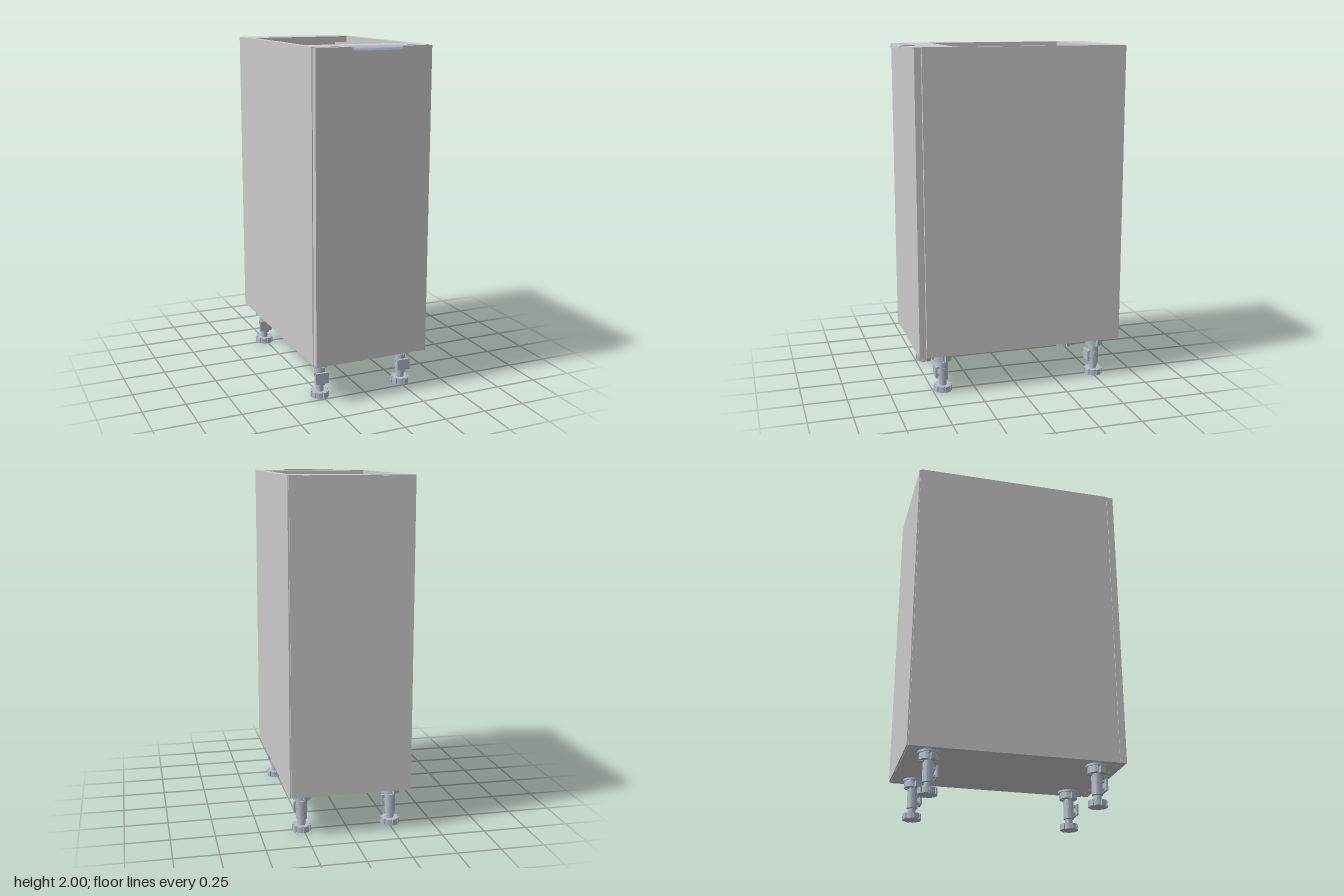
import * as THREE from 'three';
import { toCreasedNormals } from 'three/addons/utils/BufferGeometryUtils.js';

const board = new THREE.MeshStandardMaterial({ color: 0xcccccc });
const metal = new THREE.MeshStandardMaterial({ color: 0xb0bcc8 });

function add(parent, name, geometry, material) {
  const mesh = new THREE.Mesh(geometry, material);
  mesh.name = name;
  parent.add(mesh);
  return mesh;
}

// Box given by its lower and upper limits on each axis
function slab(parent, name, [x0, x1], [y0, y1], [z0, z1], material = board) {
  const mesh = add(parent, name, new THREE.BoxGeometry(x1 - x0, y1 - y0, z1 - z0), material);
  mesh.position.set((x0 + x1) / 2, (y0 + y1) / 2, (z0 + z1) / 2);
  return mesh;
}

// Disc with evenly spaced notches in its rim, lying flat from y to y + height
function notchedDisc(radius, inner, notches, y, height) {
  const shape = new THREE.Shape();
  const step = (Math.PI * 2) / notches;
  for (let i = 0; i < notches; i++) {
    for (let j = 0; j <= 4; j++) {
      const a = i * step + step * (0.1 + 0.2 * j);
      const p = [Math.cos(a) * radius, Math.sin(a) * radius];
      if (i + j === 0) shape.moveTo(...p);
      else shape.lineTo(...p);
    }
    for (const t of [0.9, 1.1]) {
      const a = (i + t) * step;
      shape.lineTo(Math.cos(a) * inner, Math.sin(a) * inner);
    }
  }
  const geometry = new THREE.ExtrudeGeometry(shape, { depth: height, bevelEnabled: false });
  return geometry.rotateX(-Math.PI / 2).translate(0, y, 0);
}

function createLeg() {
  const leg = new THREE.Group();
  leg.name = 'leg';
  add(leg, 'foot', notchedDisc(0.054, 0.044, 8, 0, 0.034), metal);

  // Adjustable column: neck, sleeve, neck
  const profile = [[0, 0.02], [0.022, 0.02], [0.022, 0.065], [0.031, 0.068],
    [0.031, 0.178], [0.024, 0.18], [0.024, 0.235], [0, 0.235]];
  const column = new THREE.LatheGeometry(profile.map(p => new THREE.Vector2(...p)), 20);
  add(leg, 'column', toCreasedNormals(column, 0.6), metal);

  // Socket screwed under the cabinet
  add(leg, 'socket', notchedDisc(0.053, 0.03, 4, 0.188, 0.04), metal);
  add(leg, 'mountingPlate', new THREE.CylinderGeometry(0.06, 0.06, 0.012, 24), metal).position.y = 0.232;

  // Plinth clip on the front of the column
  slab(leg, 'clipPlate', [-0.042, 0.038], [0.09, 0.155], [0.038, 0.05], metal);
  for (const y of [0.095, 0.14]) slab(leg, 'clipArm', [-0.02, 0.02], [y, y + 0.012], [0.02, 0.04], metal);
  for (const x of [-0.034, 0.03]) slab(leg, 'sleeveLug', [x, x + 0.004], [0.13, 0.145], [-0.008, 0.008], metal);
  return leg;
}

function createHandle() {
  // Flat strip over the door that curls down in front
  const t = 0.004;
  const shape = new THREE.Shape();
  shape.moveTo(0.55, 2 - t);
  shape.lineTo(0.55, 2);
  shape.lineTo(0.612, 2);
  shape.quadraticCurveTo(0.634, 1.998, 0.638, 1.978);
  shape.lineTo(0.634, 1.978);
  shape.quadraticCurveTo(0.63, 1.994, 0.612, 2 - t);
  const geometry = new THREE.ExtrudeGeometry(shape, { depth: 0.31, bevelEnabled: false, curveSegments: 10 });
  geometry.translate(0, 0, -0.155).rotateY(-Math.PI / 2);

  // Draw the ends in towards the curled lip
  const pos = geometry.attributes.position;
  for (let i = 0; i < pos.count; i++) {
    const k = Math.max(0, (pos.getZ(i) - 0.605) / 0.033);
    pos.setX(i, pos.getX(i) * (1 - 0.12 * k * k));
  }
  return toCreasedNormals(geometry, 0.6);
}

export function createModel() {
  const model = new THREE.Group();
  model.name = 'baseCabinet';
  const bottom = 0.238, top = 1.996, side = 0.347, inner = 0.307;
  const front = 0.55, back = -0.632;

  // Carcass
  for (const s of [-1, 1]) {
    const xs = s < 0 ? [-side, -inner] : [inner, side];
    slab(model, s < 0 ? 'rightSide' : 'leftSide', xs, [bottom, top], [back, front]);
  }
  slab(model, 'bottomPanel', [-inner, inner], [bottom, bottom + 0.037], [back, front]);
  slab(model, 'frontStretcher', [-inner, inner], [top - 0.037, top], [0.365, front]);
  slab(model, 'backStretcher', [-inner, inner], [top - 0.037, top], [back, -0.45]);
  slab(model, 'backPanel', [-0.34, 0.34], [bottom + 0.003, top - 0.003], [-0.64, back]);

  // Door and handle
  slab(model, 'door', [-0.343, 0.343], [bottom + 0.002, top - 0.001], [0.553, 0.592]);
  add(model, 'handle', createHandle(), metal);

  // Pull-out tray held on one side wall
  const tray = new THREE.Group();
  tray.name = 'pullOutTray';
  model.add(tray);
  const depth = [-0.55, 0.52];
  slab(tray, 'trayFloor', [-0.285, -0.058], [0.36, 0.37], depth, metal);
  slab(tray, 'trayOuterWall', [-0.285, -0.272], [0.37, 0.5], depth, metal);
  slab(tray, 'trayInnerWall', [-0.073, -0.058], [0.37, 0.5], depth, metal);
  for (const z of [depth[0], depth[1] - 0.012]) {
    slab(tray, 'trayEnd', [-0.272, -0.073], [0.37, 0.5], [z, z + 0.012], metal);
  }
  slab(tray, 'runner', [-0.293, -0.285], [0.4, 0.45], depth, metal);
  slab(tray, 'wallBracket', [-inner, -0.29], [0.39, 0.46], [-0.073, 0.077], metal);

  // Four adjustable legs
  for (const x of [-0.26, 0.26]) {
    for (const z of [0.44, -0.508]) {
      const leg = createLeg();
      leg.position.set(x, 0, z);
      model.add(leg);
    }
  }
  return model;
}
